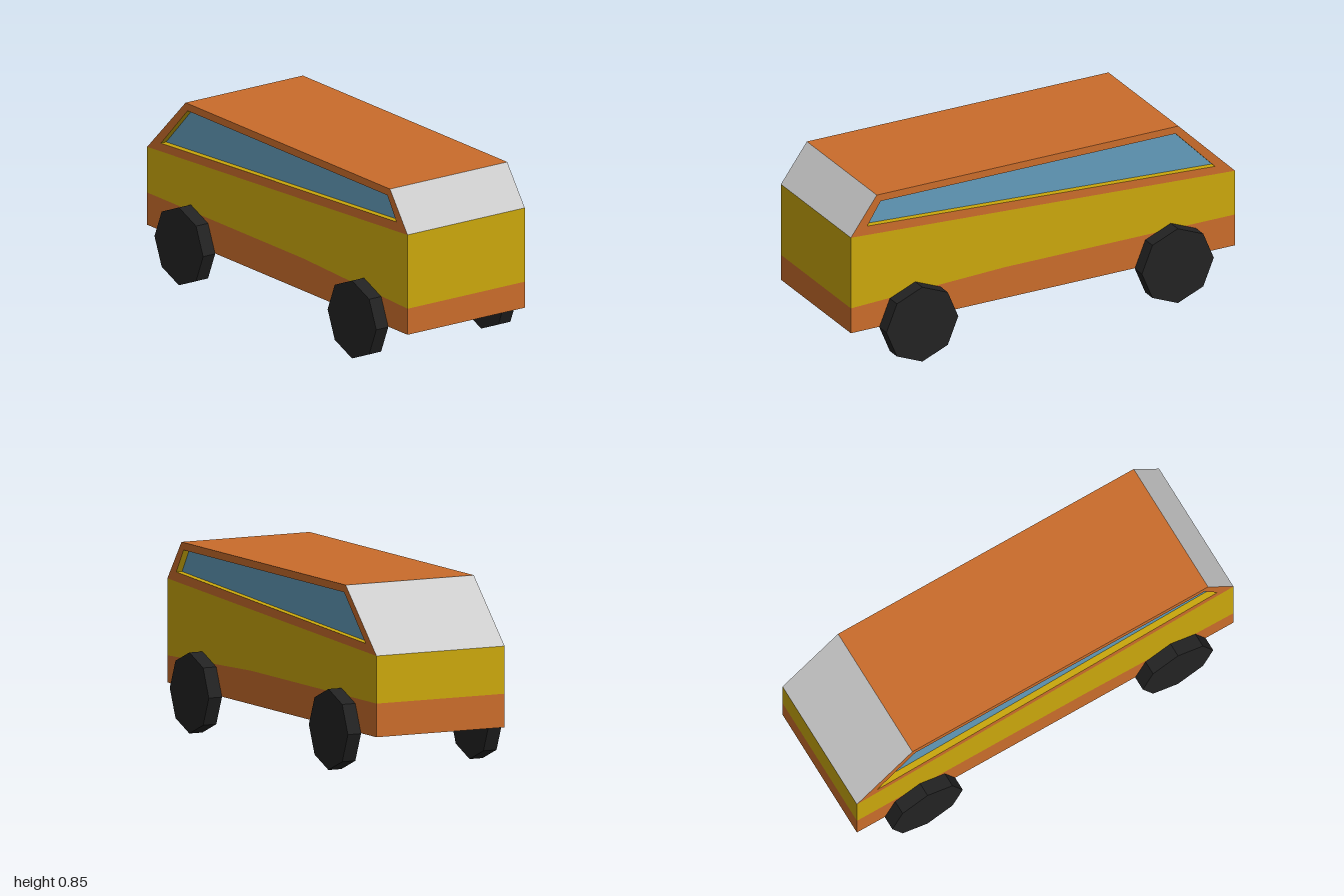
import * as THREE from 'three';

const HALF = 0.333;    // half the body width
const RECESS = 0.03;   // depth of the side windows

const makeMaterial = (name, color) => {
  const m = new THREE.MeshStandardMaterial({ color });
  m.name = name;
  return m;
};

// Flat outline in the xy plane at z, turned to face +z (side 1) or -z (side -1)
function panel(points, z, side, hole) {
  const shape = new THREE.Shape(points.map(p => new THREE.Vector2(...p)));
  if (hole) shape.holes.push(new THREE.Path(hole.map(p => new THREE.Vector2(...p))));
  const g = new THREE.ShapeGeometry(shape);
  g.translate(0, 0, z);
  if (side < 0) {
    g.scale(1, 1, -1);
    g.setIndex(Array.from(g.index.array).reverse());
    g.computeVertexNormals();
  }
  return g;
}

// Flat-faced strip along a path, from zNear (larger) to zFar; faces the right of travel
function strip(path, zNear, zFar) {
  const v = [];
  for (let i = 0; i < path.length - 1; i++) {
    const a = path[i], b = path[i + 1];
    v.push(...a, zNear, ...a, zFar, ...b, zFar, ...a, zNear, ...b, zFar, ...b, zNear);
  }
  const g = new THREE.BufferGeometry();
  g.setAttribute('position', new THREE.Float32BufferAttribute(v, 3));
  g.computeVertexNormals();
  return g;
}

export function createModel() {
  const van = new THREE.Group();
  van.name = 'van';
  const orange = makeMaterial('orange paint', 0xc96c2b);
  const yellow = makeMaterial('yellow paint', 0xcaa70c);
  const grey = makeMaterial('pale grey glass', 0xcccccc);
  const blue = makeMaterial('blue glass', 0x629bba);
  const black = makeMaterial('black rubber', 0x222222);

  const add = (name, geometry, material) => {
    const mesh = new THREE.Mesh(geometry, material);
    mesh.name = name;
    van.add(mesh);
    return mesh;
  };

  // Side outlines, counter-clockwise seen from +z
  const lower = [[-1, 0.19], [1, 0.19], [1, 0.315], [0.2, 0.345], [-1, 0.345]];
  const band = [[-1, 0.345], [0.2, 0.345], [1, 0.315], [1, 0.67], [-1, 0.565]];
  const cabin = [[-1, 0.565], [1, 0.67], [0.865, 0.855], [-0.705, 0.855]];
  const pane = [[-0.895, 0.61], [0.915, 0.71], [0.845, 0.82], [-0.69, 0.82]];

  // Body sides with recessed windows
  for (const side of [1, -1]) {
    const label = side > 0 ? 'near' : 'far';
    add(label + 'LowerSide', panel(lower, HALF, side), orange);
    add(label + 'YellowBand', panel(band, HALF, side), yellow);
    add(label + 'WindowFrame', panel(cabin, HALF, side, pane), orange);
    add(label + 'SideWindow', panel(pane, HALF - RECESS, side), blue);
    const rim = [...pane, pane[0]].reverse();
    const z = side > 0 ? [HALF, HALF - RECESS] : [RECESS - HALF, -HALF];
    add(label + 'WindowReveal', strip(rim, ...z), yellow);
  }

  // Faces that run across the body
  const across = (name, path, material) => add(name, strip(path, HALF, -HALF), material);
  across('floorAndLowerEnds', [lower[4], lower[0], lower[1], lower[2]], orange);
  across('rightEndBand', [band[2], band[3]], yellow);
  across('leftEndBand', [band[4], band[0]], yellow);
  across('steepWindscreen', [cabin[1], cabin[2]], grey);
  across('roof', [cabin[2], cabin[3]], orange);
  across('slopingWindscreen', [cabin[3], cabin[0]], grey);

  // Eight-sided wheels against the body sides
  const wheel = new THREE.CylinderGeometry(0.187, 0.187, 0.068, 8).toNonIndexed();
  wheel.rotateX(Math.PI / 2);
  wheel.computeVertexNormals();
  for (const x of [-0.665, 0.665]) {
    for (const side of [1, -1]) {
      add('wheel', wheel, black).position.set(x, 0.188, side * (HALF + 0.034));
    }
  }
  return van;
}
